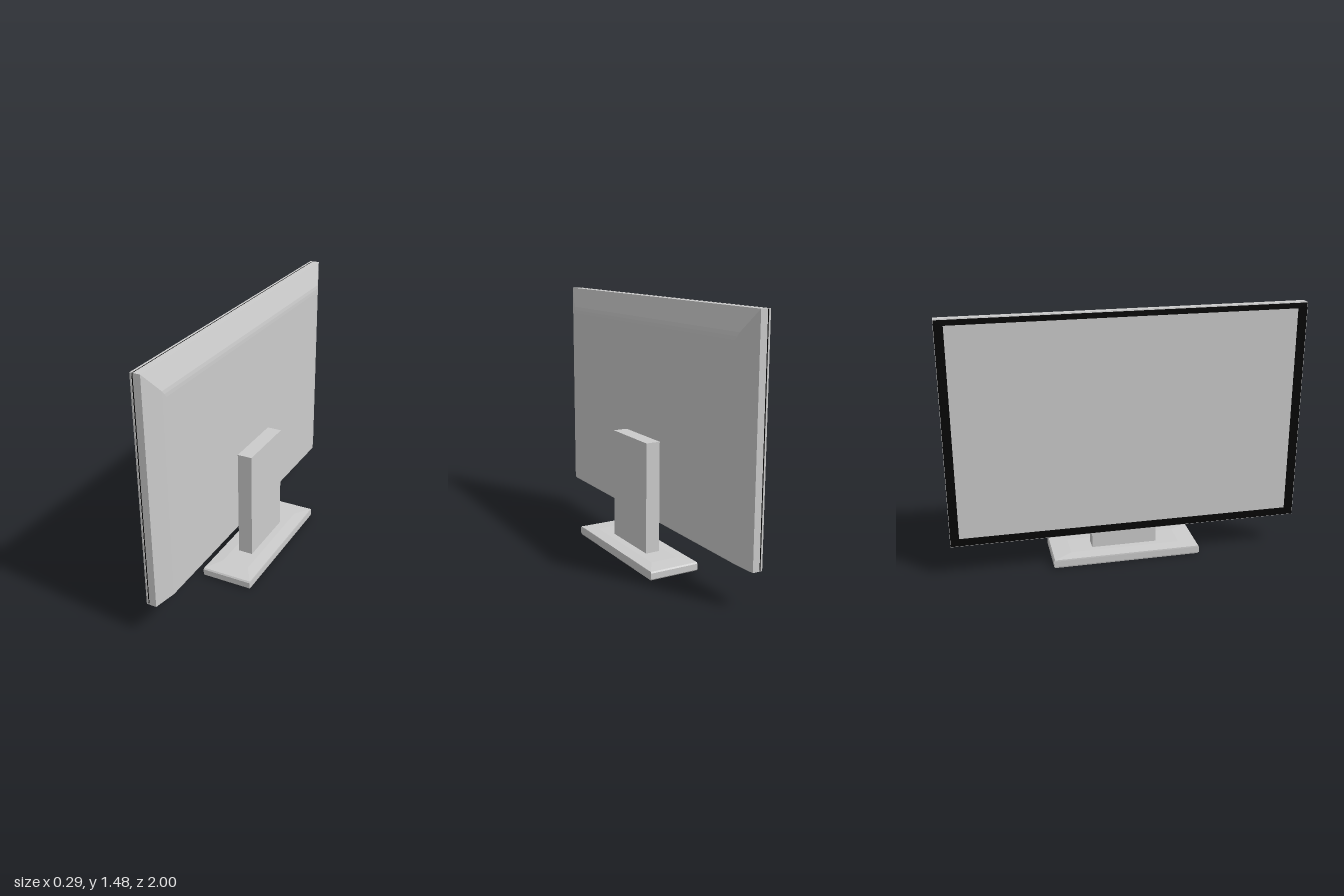
import * as THREE from 'three';

const grey = new THREE.MeshStandardMaterial({ color: 0xcccccc });
const black = new THREE.MeshStandardMaterial({ color: 0x050505 });

// Rectangular cross-sections, counter-clockwise seen from the positive axis
const sectionX = (x, y0, y1, z) => [[x, y0, z], [x, y0, -z], [x, y1, -z], [x, y1, z]];
const sectionY = (y, x, z) => [[-x, y, z], [x, y, z], [x, y, -z], [-x, y, -z]];

// Closed, flat-faced solid through a list of four-cornered sections
function loft(sections) {
  const pos = [];
  const quad = (a, b, c, d) => pos.push(...a, ...b, ...c, ...a, ...c, ...d);
  for (let s = 0; s < sections.length - 1; s++) {
    const r = sections[s], n = sections[s + 1];
    for (let i = 0; i < 4; i++) {
      const j = (i + 1) % 4;
      quad(r[i], r[j], n[j], n[i]);
    }
  }
  quad(...sections.at(-1));
  quad(...[...sections[0]].reverse());
  const geo = new THREE.BufferGeometry();
  geo.setAttribute('position', new THREE.Float32BufferAttribute(pos, 3));
  geo.computeVertexNormals();
  return geo;
}

// Rectangular frame in the YZ plane, from xBack forward to xFront (towards -x)
function frame(xBack, xFront, outer, inner) {
  const outline = (path, [y0, y1, z]) =>
    path.moveTo(-z, y0).lineTo(z, y0).lineTo(z, y1).lineTo(-z, y1).lineTo(-z, y0);
  const shape = outline(new THREE.Shape(), outer);
  shape.holes.push(outline(new THREE.Path(), inner));
  const geo = new THREE.ExtrudeGeometry(shape, { depth: xBack - xFront, bevelEnabled: false });
  return geo.rotateY(-Math.PI / 2).translate(xBack, 0, 0);
}

const box = (x0, x1, y0, y1, z) =>
  new THREE.BoxGeometry(x1 - x0, y1 - y0, 2 * z).translate((x0 + x1) / 2, (y0 + y1) / 2, 0);

export function createModel() {
  const model = new THREE.Group();
  model.name = 'monitor';
  const add = (name, geometry, material = grey) => {
    const mesh = new THREE.Mesh(geometry, material);
    mesh.name = name;
    model.add(mesh);
  };

  // Rear housing with sloping edges
  add('rearHousing', loft([
    sectionX(-0.13, 0.2, 1.475, 1),
    sectionX(-0.09, 0.2, 1.475, 1),
    sectionX(-0.051, 0.22, 1.36, 0.895),
    sectionX(-0.048, 0.223, 1.34, 0.88),
    sectionX(-0.047, 0.228, 1.32, 0.865),
  ]));

  // Dark seam, then the front trim, bezel and recessed screen
  add('seam', box(-0.137, -0.13, 0.205, 1.47, 0.995), black);
  add('frontTrim', frame(-0.137, -0.1465, [0.2, 1.475, 1], [0.202, 1.473, 0.998]));
  add('bezel', frame(-0.137, -0.147, [0.202, 1.473, 0.998], [0.242, 1.443, 0.95]), black);
  add('screen', box(-0.1385, -0.136, 0.242, 1.443, 0.95));

  // Stand
  add('neck', box(-0.045, 0.04, 0.045, 0.693, 0.19));
  add('base', loft([
    sectionY(0, 0.145, 0.422),
    sectionY(0.008, 0.147, 0.43),
    sectionY(0.042, 0.147, 0.43),
    sectionY(0.05, 0.146, 0.424),
    sectionY(0.056, 0.08, 0.32),
  ]));

  return model;
}
